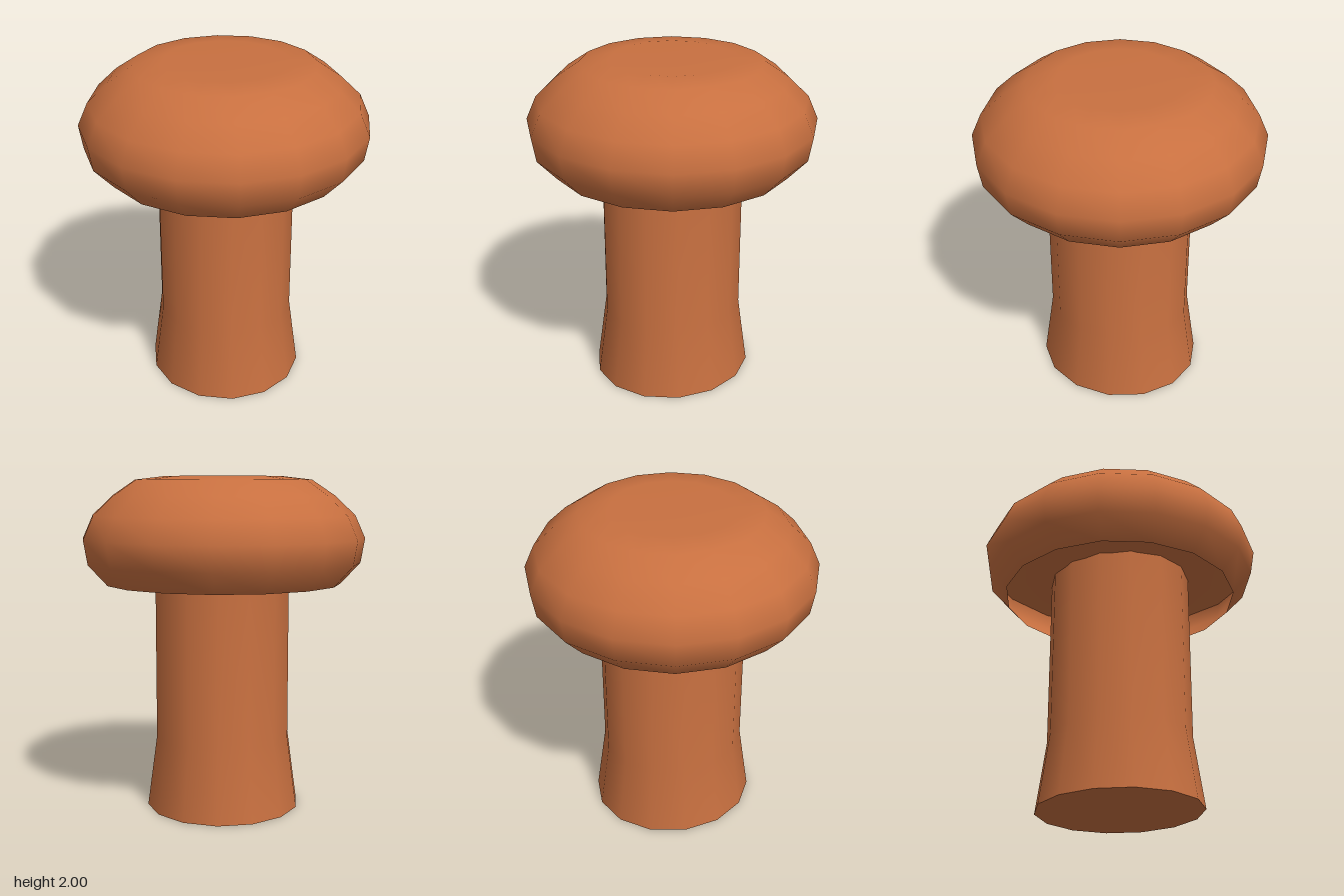
import * as THREE from 'three';
import { toCreasedNormals } from 'three/addons/utils/BufferGeometryUtils.js';

const CAP_SIDES = 16;
const STEM_SIDES = 14;

// Revolve a profile of [radius, height] pairs around the y axis
function revolve(name, profile, sides, material, crease) {
  const points = profile.map(([r, y]) => new THREE.Vector2(r, y));
  const geometry = toCreasedNormals(new THREE.LatheGeometry(points, sides), crease);
  const mesh = new THREE.Mesh(geometry, material);
  mesh.name = name;
  return mesh;
}

export function createModel() {
  const group = new THREE.Group();
  group.name = 'mushroom';
  const material = new THREE.MeshStandardMaterial({ color: 0xc87040, side: THREE.DoubleSide });

  // Stem: flared foot, straight shaft, slightly narrower across x
  const stem = revolve('stem', [[0, 0], [0.5, 0], [0.4375, 0.43], [0.4375, 1.5]], STEM_SIDES, material, 1.0);
  stem.scale.x = 0.933;
  group.add(stem);

  // Cap: rounded shell with a shallow dimple on top
  group.add(revolve('cap', [
    [0.71, 1.365], [0.825, 1.49], [0.85, 1.635], [0.79, 1.77],
    [0.67, 1.885], [0.53, 1.98], [0.36, 2.0], [0, 1.96],
  ], CAP_SIDES, material, 1.2));

  // Underside: recessed surface running from the stem to the cap wall
  group.add(revolve('capUnderside', [[0.38, 1.46], [0.62, 1.53], [0.843, 1.6]], CAP_SIDES, material, 1.0));

  return group;
}
